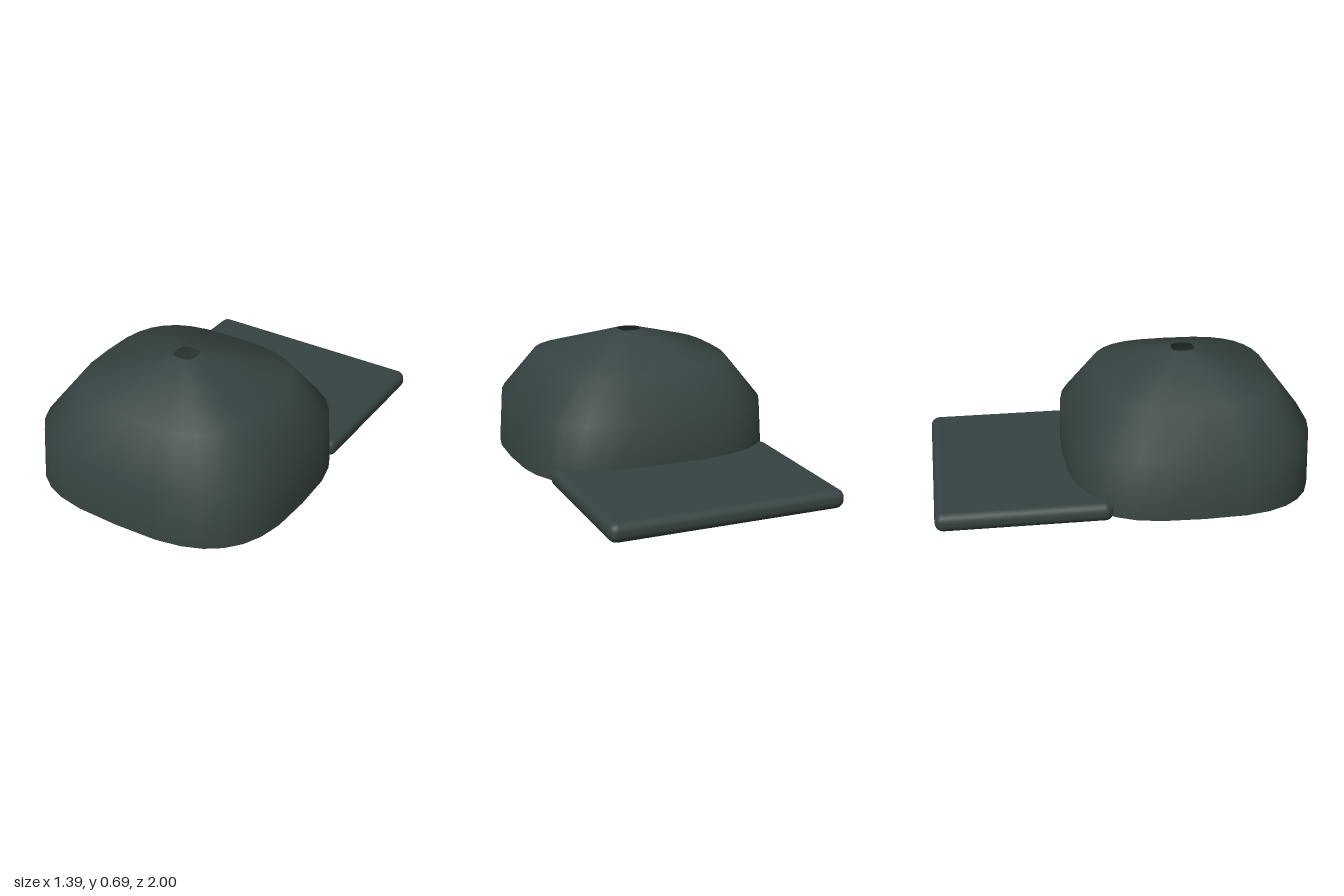
import * as THREE from 'three';
import { RoundedBoxGeometry } from 'three/addons/geometries/RoundedBoxGeometry.js';

// Open shell lofted through rounded-square rings: [y, half width, half depth]
function crownGeometry(rings, sides, power) {
  const positions = [], index = [];
  const bend = (v) => Math.sign(v) * Math.abs(v) ** (2 / power);
  rings.forEach(([y, hx, hz], r) => {
    for (let i = 0; i < sides; i++) {
      const a = (i / sides) * Math.PI * 2;
      positions.push(hx * bend(Math.cos(a)), y, hz * bend(Math.sin(a)));
      if (r === rings.length - 1) continue;
      const p = r * sides + i, q = r * sides + (i + 1) % sides;
      index.push(p, p + sides, q, q, p + sides, q + sides);
    }
  });
  const geometry = new THREE.BufferGeometry();
  geometry.setAttribute('position', new THREE.Float32BufferAttribute(positions, 3));
  geometry.setIndex(index);
  geometry.computeVertexNormals();
  return geometry;
}

export function createModel() {
  const cap = new THREE.Group();
  cap.name = 'cap';
  const fabric = new THREE.MeshStandardMaterial({ color: 0x364342, side: THREE.DoubleSide });
  fabric.name = 'dark slate fabric';

  // Crown: hollow, open underneath and with a small hole at the top
  const crown = new THREE.Mesh(crownGeometry([
    [0.025, 0.695, 0.65],
    [0.325, 0.675, 0.645],
    [0.555, 0.5, 0.47],
    [0.69, 0.06, 0.06],
  ], 32, 3), fabric);
  crown.name = 'crown';
  crown.position.z = 0.35;

  // Brim: flat rounded slab reaching backwards from under the crown
  const brim = new THREE.Mesh(new RoundedBoxGeometry(1.25, 0.1, 0.9, 3, 0.045), fabric);
  brim.name = 'brim';
  brim.position.set(0, 0.05, -0.55);

  cap.add(crown, brim);
  return cap;
}
